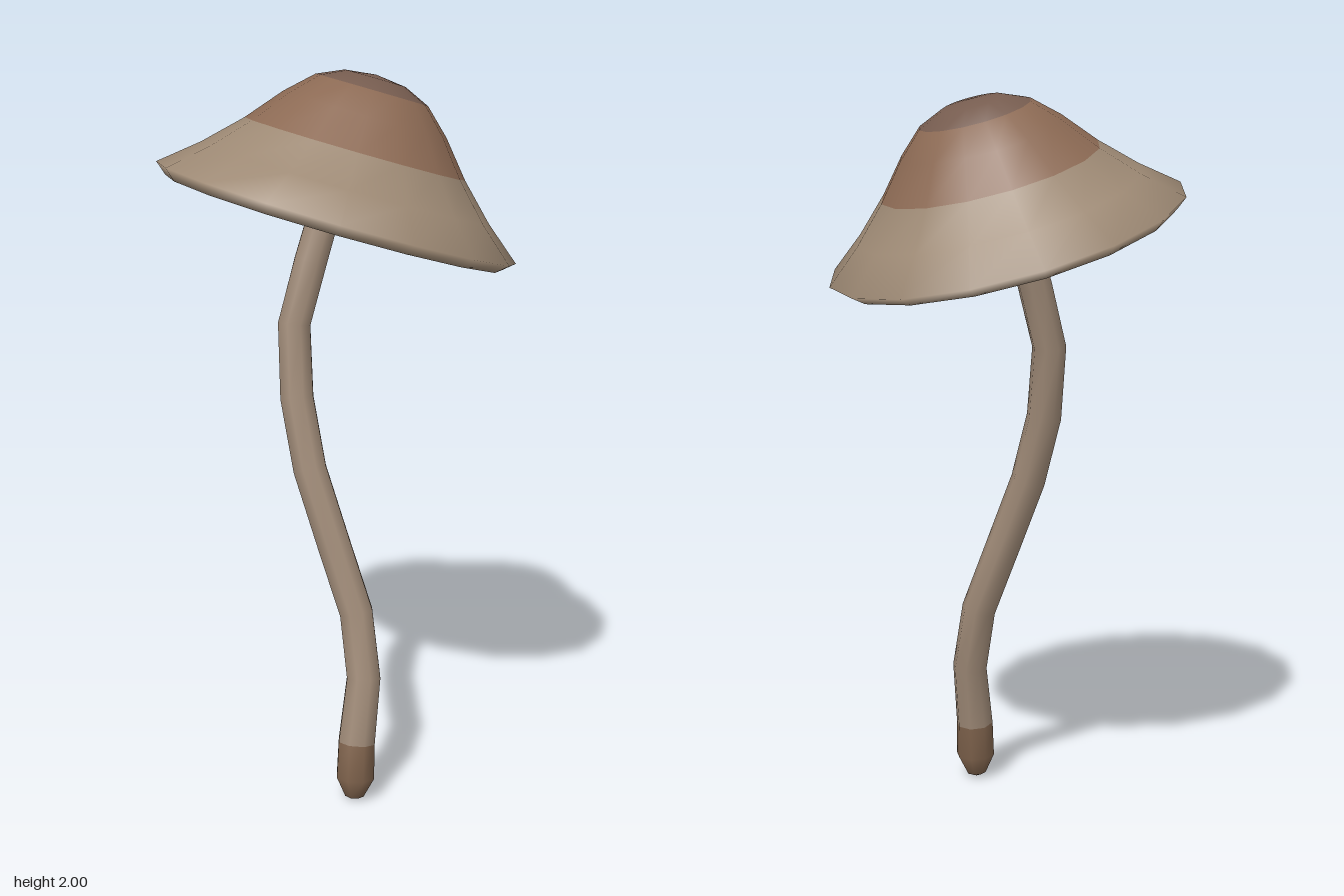
import * as THREE from 'three';
import { mergeVertices } from 'three/addons/utils/BufferGeometryUtils.js';

// Skin a list of rings (each an array of Vector3), bottom to top, with smooth normals
function loft(rings) {
  const n = rings[0].length;
  const index = [];
  for (let j = 0; j < rings.length - 1; j++) {
    for (let i = 0; i < n; i++) {
      const a = j * n + i, b = j * n + (i + 1) % n;
      index.push(a, b, b + n, a, b + n, a + n);
    }
  }
  let geometry = new THREE.BufferGeometry().setFromPoints(rings.flat());
  geometry.setIndex(index);
  geometry = mergeVertices(geometry, 1e-5);
  geometry.computeVertexNormals();
  return geometry;
}

// Take some rows of a loft as their own mesh, keeping the shared smooth normals
function band(name, geometry, sides, from, to, color) {
  const part = geometry.clone();
  part.setIndex(Array.from(geometry.index.array.slice(from * sides * 6, to * sides * 6)));
  const mesh = new THREE.Mesh(part, new THREE.MeshStandardMaterial({ color }));
  mesh.name = name;
  return mesh;
}

// Ring of radius r round a centre, in the plane of the axes u and w
function ring(center, r, sides, u, w) {
  return Array.from({ length: sides }, (_, i) => {
    const a = (i / sides) * Math.PI * 2;
    return center.clone().addScaledVector(u, Math.sin(a) * r).addScaledVector(w, Math.cos(a) * r);
  });
}

const X = new THREE.Vector3(1, 0, 0);
const Z = new THREE.Vector3(0, 0, 1);

function lathe(profile, sides) {
  return loft(profile.map(([r, y]) => ring(new THREE.Vector3(0, y, 0), r, sides, X, Z)));
}

function createStem() {
  // x, y, z, radius along the bent stalk
  const path = [
    [-0.045, 0, 0.235, 0], [-0.045, 0.012, 0.235, 0.028], [-0.042, 0.07, 0.235, 0.056],
    [-0.036, 0.17, 0.229, 0.054], [-0.006, 0.35, 0.207, 0.05], [-0.012, 0.53, 0.167, 0.049],
    [-0.055, 0.72, 0.106, 0.049], [-0.098, 0.92, 0.04, 0.049], [-0.111, 1.11, -0.021, 0.049],
    [-0.104, 1.31, -0.056, 0.048], [-0.052, 1.48, -0.063, 0.048], [0.0, 1.65, -0.06, 0.046],
  ];
  const sides = 8;
  const centers = path.map(([x, y, z]) => new THREE.Vector3(x, y, z));
  const rings = path.map(([, , , r], i) => {
    const before = centers[Math.max(i - 1, 0)];
    const after = centers[Math.min(i + 1, path.length - 1)];
    const tangent = after.clone().sub(before).normalize();
    const u = X.clone().addScaledVector(tangent, -X.dot(tangent)).normalize();
    return ring(centers[i], r, sides, u, u.clone().cross(tangent));
  });
  const geometry = loft(rings);
  const stem = new THREE.Group();
  stem.name = 'stem';
  stem.add(
    band('stemFoot', geometry, sides, 0, 3, 0x83664f),
    band('stemStalk', geometry, sides, 3, path.length - 1, 0xa08b78),
  );
  return stem;
}

function createCap() {
  const sides = 16;
  const cap = new THREE.Group();
  cap.name = 'cap';

  // Bell-shaped top, from the turned-under lip to the crown
  const top = lathe([
    [0.43, -0.012], [0.472, -0.028], [0.505, 0], [0.403, 0.084], [0.308, 0.178],
    [0.228, 0.273], [0.157, 0.34], [0.085, 0.372], [0, 0.382],
  ], sides);
  cap.add(
    band('capBrim', top, sides, 0, 4, 0x9d8974),
    band('capShoulder', top, sides, 4, 6, 0x8c6a54),
    band('capCrown', top, sides, 6, 8, 0x765c4f),
  );

  // Nearly flat underside
  const under = lathe([[0, 0.012], [0.2, 0.006], [0.43, -0.012]], sides);
  cap.add(band('capUnderside', under, sides, 0, 2, 0x6a5c51));

  // Thin gills radiating below the underside
  const blade = new THREE.Shape([
    new THREE.Vector2(0.1, 0.012), new THREE.Vector2(0.2, -0.004),
    new THREE.Vector2(0.4, -0.022), new THREE.Vector2(0.43, -0.008),
  ]);
  const gillGeometry = new THREE.ShapeGeometry(blade);
  const gillMaterial = new THREE.MeshStandardMaterial({ color: 0x5c5047, side: THREE.DoubleSide });
  for (let i = 0; i < sides; i++) {
    const gill = new THREE.Mesh(gillGeometry, gillMaterial);
    gill.name = 'gill';
    gill.rotation.y = ((i + 0.5) / sides) * Math.PI * 2;
    cap.add(gill);
  }

  // The cap leans toward its left
  cap.position.y = 1.62;
  cap.rotation.z = -0.302;
  return cap;
}

export function createModel() {
  const model = new THREE.Group();
  model.name = 'mushroom';
  model.add(createStem(), createCap());
  return model;
}
